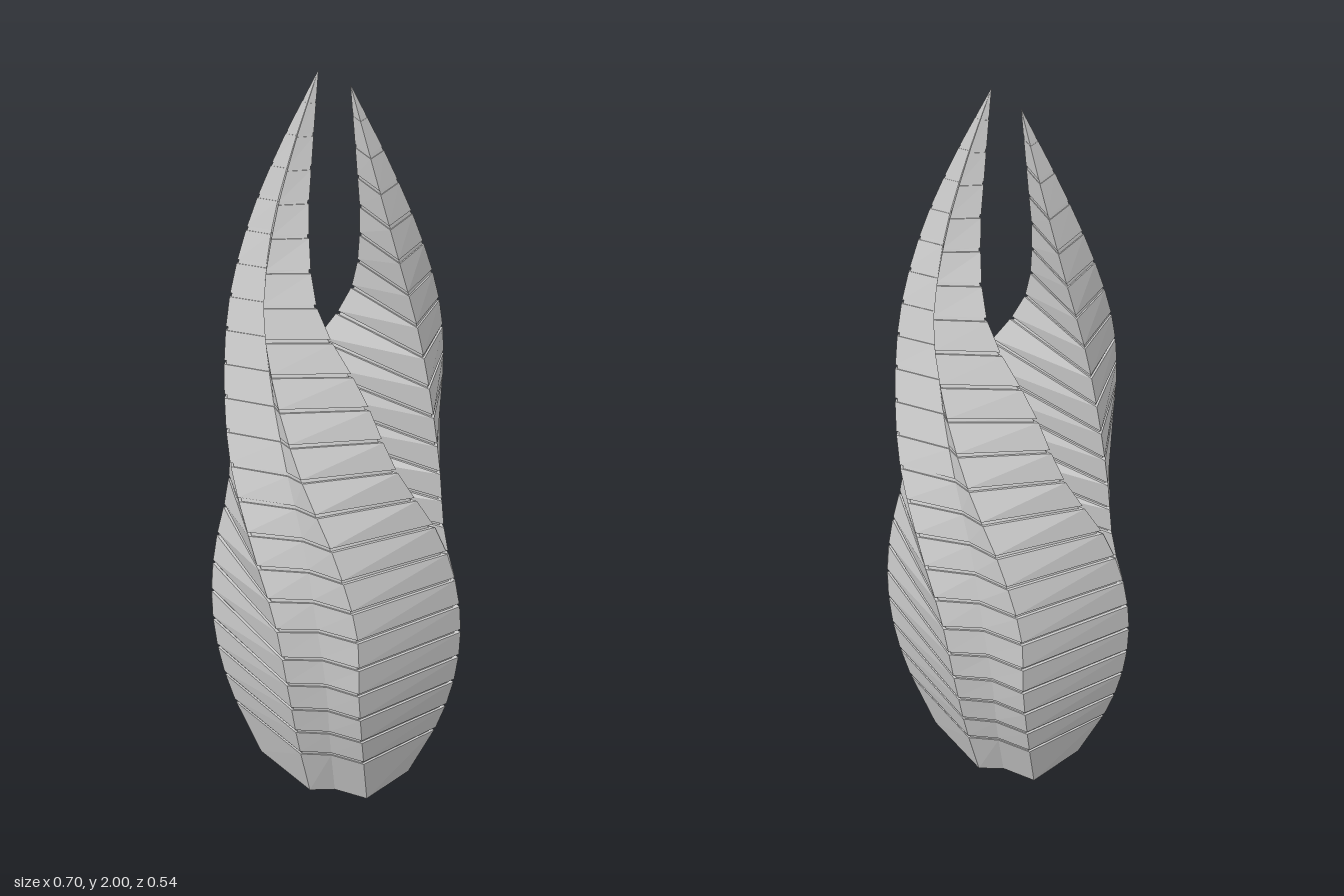
import * as THREE from 'three';

// Plan positions [x, z] of each corner of one tower, every 0.2 units of height.
const outer = [[-.21, .005], [-.3, 0], [-.345, -.01], [-.345, -.03], [-.31, -.055], [-.3, -.085],
  [-.28, -.108], [-.245, -.118], [-.19, -.12], [-.125, -.095], [-.05, -.04]];
const shoulder = [[-.03, .15], [-.045, .215], [-.06, .26], [-.09, .27], [-.16, .235], [-.23, .175],
  [-.26, .115], [-.26, .06], [-.22, .01], [-.145, -.02], [-.05, -.04]];
const notch = [[.035, .13], [.04, .2], [.04, .24], [.015, .245], [-.02, .225], [-.075, .19],
  [-.13, .13], [-.165, .07], [-.155, .02], [-.11, -.015], [-.05, -.04]];
const ridge = [[.13, .15], [.135, .22], [.135, .265], [.13, .272], [.07, .26], [-.03, .22],
  [-.11, .165], [-.155, .11], [-.145, .05], [-.105, 0], [-.05, -.04]];
// The inner corner meets the other tower's outer corner low down, then peels away.
const inner = [...outer.slice(0, 4).map(([x, z]) => [-x, -z]), [.295, .06], [.19, .105],
  [.1, .1], [-.02, .075], [-.06, .02], [-.06, -.02], [-.05, -.04]];

const rails = [outer, shoulder, notch, ridge, inner].map((keys) => new THREE.CatmullRomCurve3(
  keys.map(([x, z], i) => new THREE.Vector3(x, i * 0.2, z)), false, 'catmullrom', 0.5));

// Cross-section at height y, shrunk towards its middle by the given scale.
function section(y, scale = 1) {
  const ring = rails.map((rail) => rail.getPoint(y / 2));
  const mid = new THREE.Vector3();
  ring.forEach((p) => mid.addScaledVector(p, 1 / ring.length));
  return ring.map((p) => p.sub(mid).multiplyScalar(scale).add(mid));
}

function towerGeometry() {
  const base = 0.15, floors = 22, groove = 0.01, inset = 0.95;
  const step = (2 - base) / floors;

  // Base block, then sloping floors separated by thin recessed grooves.
  const rings = [section(0), section(base)];
  for (let i = 0; i < floors; i++) {
    const y = base + i * step;
    rings.push(section(y, inset), section(y + groove, inset));
    rings.push(section(y + groove), section(y + step));
  }

  const pos = [];
  const tri = (...points) => points.forEach((p) => pos.push(p.x, p.y, p.z));
  for (let r = 0; r < rings.length - 1; r++) {
    const a = rings[r], b = rings[r + 1];
    for (let i = 0; i < a.length; i++) {
      const j = (i + 1) % a.length;
      tri(a[i], a[j], b[j]);
      tri(a[i], b[j], b[i]);
    }
  }
  // Underside, fanned from the notch corner.
  const f = rings[0];
  tri(f[2], f[4], f[3]);
  tri(f[2], f[0], f[4]);
  tri(f[2], f[1], f[0]);

  const geometry = new THREE.BufferGeometry();
  geometry.setAttribute('position', new THREE.Float32BufferAttribute(pos, 3));
  geometry.computeVertexNormals();
  return geometry;
}

export function createModel() {
  const group = new THREE.Group();
  group.name = 'twistedTwinTower';
  const material = new THREE.MeshStandardMaterial({ color: 0xcccccc, flatShading: true });
  const geometry = towerGeometry();
  // The second tower is the first turned half way round.
  ['rightTower', 'leftTower'].forEach((name, i) => {
    const tower = new THREE.Mesh(geometry, material);
    tower.name = name;
    tower.rotation.y = i * Math.PI;
    group.add(tower);
  });
  return group;
}
